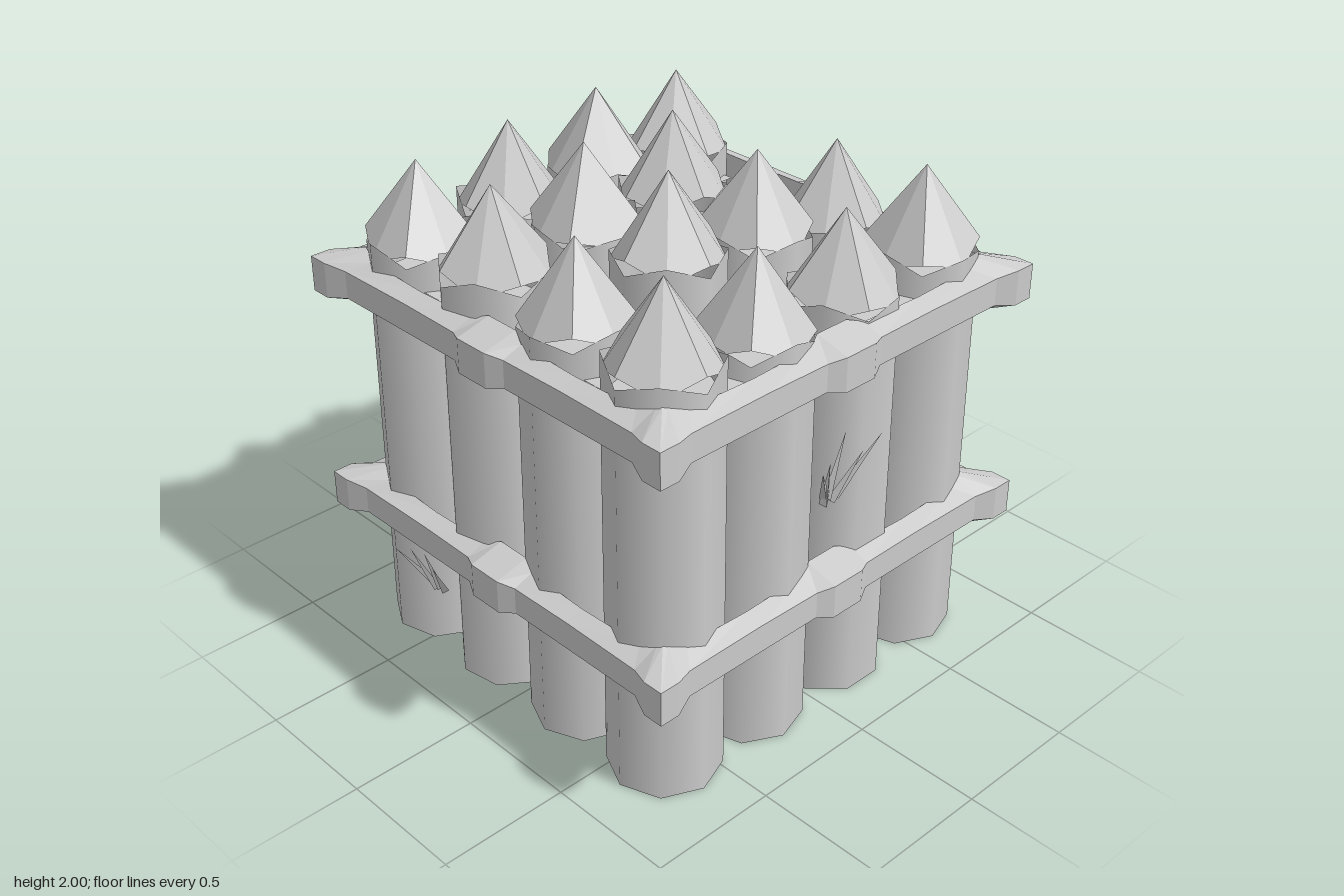
import * as THREE from 'three';
import { mergeGeometries } from 'three/addons/utils/BufferGeometryUtils.js';

// Open surfaces throughout, so both sides are drawn
const grey = new THREE.MeshStandardMaterial({ color: 0xcccccc, side: THREE.DoubleSide });
grey.name = 'plainGrey';

const SPOTS = [-0.62, -0.21, 0.21, 0.62];
const SIDES = 8;

function add(group, name, geometry) {
  const mesh = new THREE.Mesh(geometry, grey);
  mesh.name = name;
  group.add(mesh);
  return mesh;
}

function flat(geometry) {
  const g = geometry.index ? geometry.toNonIndexed() : geometry;
  g.computeVertexNormals();
  return g;
}

// Triangles from a flat list of corner points
function fromPoints(points) {
  return flat(new THREE.BufferGeometry().setFromPoints(points));
}

// Hollow log whose top rim follows a list of eight heights
function logBody(rim) {
  const g = new THREE.CylinderGeometry(0.2, 0.207, 1, SIDES, 1, true, Math.PI / 2);
  const p = g.attributes.position;
  for (let i = 0; i < p.count; i++) {
    p.setY(i, i <= SIDES ? rim[i % SIDES] : 0);
  }
  return g;
}

// Faceted point that sits on the same uneven rim
function logTip(rim, apex) {
  const g = new THREE.ConeGeometry(0.2, 1, SIDES, 1, true, Math.PI / 2);
  const p = g.attributes.position;
  for (let i = 0; i < p.count; i++) {
    p.setY(i, i <= SIDES ? apex : rim[i % SIDES]);
  }
  return flat(g);
}

// Beam ring: a four-cornered section swept round a square, thicker at corners and middles
function beamRing(y) {
  // along outer edge, along inner edge, outer offset, inner offset, outer half height, inner half height
  const half = [
    [-0.9, -0.76, 0.9, 0.76, 0.068, 0.105],
    [-0.82, -0.74, 0.9, 0.765, 0.068, 0.1],
    [-0.74, -0.68, 0.868, 0.79, 0.053, 0.082],
    [-0.4, -0.4, 0.866, 0.795, 0.055, 0.077],
    [-0.13, -0.13, 0.868, 0.79, 0.053, 0.082],
    [-0.07, -0.07, 0.898, 0.762, 0.066, 0.1],
  ];
  const mirror = half.slice(1).reverse().map(([a, b, ...rest]) => [-a, -b, ...rest]);
  const stations = [...half, ...mirror];
  const loops = [];
  const up = new THREE.Vector3(0, 1, 0);
  for (let side = 0; side < 4; side++) {
    for (const [ao, ai, out, inn, ho, hi] of stations) {
      loops.push([[ao, -ho, out], [ao, ho, out], [ai, hi, inn], [ai, -hi, inn]].map(
        (c) => new THREE.Vector3(...c).applyAxisAngle(up, side * Math.PI / 2).setY(y + c[1])));
    }
  }
  const pts = [];
  loops.forEach((a, i) => {
    const b = loops[(i + 1) % loops.length];
    for (let k = 0; k < 4; k++) {
      const n = (k + 1) % 4;
      pts.push(a[k], b[k], b[n], a[k], b[n], a[n]);
    }
  });
  return fromPoints(pts);
}

// Fan of thin blades; each blade is [base across, base height, tip across, tip height, tip outward]
function splinters(blades, width) {
  return mergeGeometries(blades.map(([bx, by, tx, ty, tz]) => {
    const l = new THREE.Vector3(bx - width, by + 0.02, 0);
    const r = new THREE.Vector3(bx + width, by + 0.02, 0);
    const f = new THREE.Vector3(bx, by, 0.015);
    const t = new THREE.Vector3(tx, ty, tz);
    return fromPoints([l, f, t, f, r, t, r, l, t]);
  }));
}

export function createModel() {
  const model = new THREE.Group();
  model.name = 'logPalisade';

  // Tip heights and turns, rows from back to front; 0 marks the broken log
  const heights = [
    [1.90, 1.93, 1.94, 1.90],
    [1.94, 1.97, 1.97, 0],
    [1.90, 2.00, 1.95, 1.87],
    [1.91, 1.87, 1.87, 1.90],
  ];
  const turns = [[7, 3, 20, 6], [13, 12, 10, 0], [0, 0, 0, 13], [2, 5, 22, 4]];
  const wobble = [0.03, -0.03, 0.01, -0.02, 0.035, -0.025, 0.02, -0.03];
  const brokenRim = [1.06, 1.18, 1.14, 1.1, 1.16, 1.1, 1.07, 1.18];

  // Logs
  heights.forEach((row, r) => row.forEach((apex, c) => {
    const log = new THREE.Group();
    log.name = apex ? 'log' : 'brokenLog';
    log.position.set(SPOTS[c], 0, SPOTS[r]);
    log.rotation.y = -THREE.MathUtils.degToRad(turns[r][c]);
    const rim = apex
      ? wobble.map((_, i) => apex - 0.3 + wobble[(i + r * 3 + c) % SIDES])
      : brokenRim;
    add(log, 'logBody', logBody(rim));
    if (apex) add(log, 'logTip', logTip(rim, apex));
    model.add(log);
  }));

  // Thin deck between the logs, notched around the broken one
  const deck = new THREE.Shape([
    [-0.73, -0.73], [0.73, -0.73], [0.73, 0], [0.42, 0],
    [0.42, 0.42], [0.73, 0.42], [0.73, 0.73], [-0.73, 0.73],
  ].map(([x, y]) => new THREE.Vector2(x, y)));
  const deckGeometry = new THREE.ShapeGeometry(deck).rotateX(-Math.PI / 2);
  add(model, 'deck', deckGeometry).position.y = 1.48;

  // Binding beams
  add(model, 'lowerBeams', beamRing(0.55));
  add(model, 'upperBeams', beamRing(1.457));

  // Splinters on the front
  const front = add(model, 'frontSplinters', splinters([
    [-0.03, 0.9, -0.155, 1.11, 0.1], [-0.03, 0.88, -0.085, 1.11, 0.07],
    [-0.01, 0.9, 0.01, 1.19, 0.05], [0.01, 0.88, 0.07, 1.1, 0.08], [0.03, 0.89, 0.14, 1.15, 0.1],
  ], 0.025));
  front.position.z = 0.79;

  // Splinters on the low side
  const side = add(model, 'sideSplinters', splinters([
    [-0.04, 0.28, -0.13, 0.44, 0.1], [-0.02, 0.26, -0.06, 0.46, 0.08],
    [0, 0.27, 0.01, 0.47, 0.07], [0.03, 0.27, 0.1, 0.46, 0.1],
  ], 0.022));
  side.rotation.y = -Math.PI / 2;
  side.position.set(-0.79, 0, -0.42);

  // Splinters standing on the broken log, leaning inward
  const broken = add(model, 'brokenLogSplinters', splinters([
    [-0.08, 1.1, -0.135, 1.33, -0.04], [-0.05, 1.08, -0.05, 1.35, -0.09],
    [-0.02, 1.06, -0.01, 1.27, -0.07], [0.01, 1.06, 0.03, 1.33, -0.1],
    [0.04, 1.07, 0.06, 1.33, -0.08], [0.08, 1.1, 0.14, 1.37, -0.03],
  ], 0.025));
  broken.rotation.y = Math.PI / 2;
  broken.position.set(0.79, 0, -0.21);

  return model;
}
